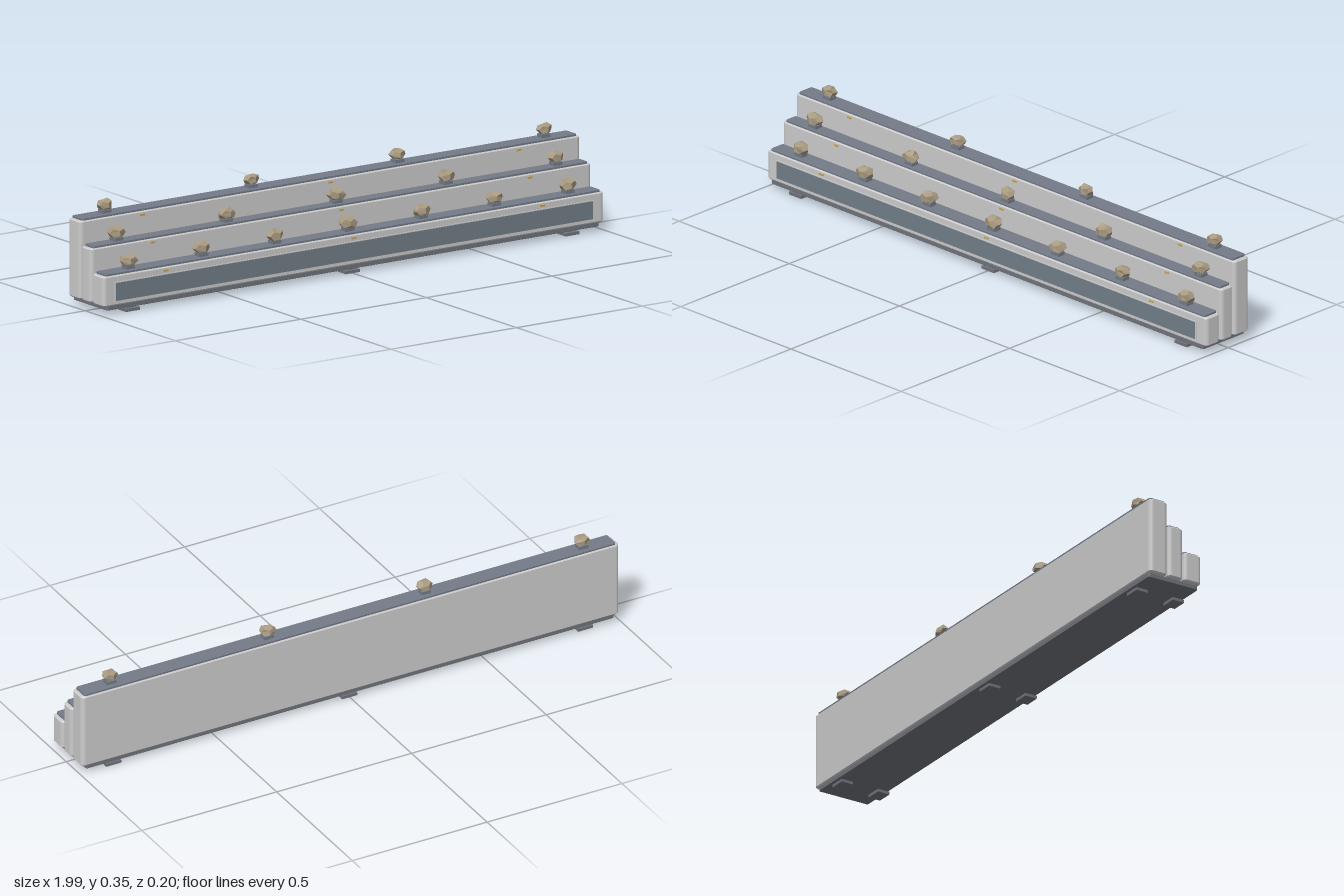
import * as THREE from 'three';

const mat = (color) => new THREE.MeshStandardMaterial({ color, flatShading: true });

// Box with rounded upright corners and a small chamfer on its top and bottom edges
function slab(w, h, d, r, bevel) {
  const x = w / 2 - bevel, z = d / 2 - bevel;
  const s = new THREE.Shape();
  s.absarc(x - r, z - r, r, 0, Math.PI / 2);
  s.absarc(-x + r, z - r, r, Math.PI / 2, Math.PI);
  s.absarc(-x + r, -z + r, r, Math.PI, Math.PI * 1.5);
  s.absarc(x - r, -z + r, r, Math.PI * 1.5, Math.PI * 2);
  const g = new THREE.ExtrudeGeometry(s, {
    depth: h - 2 * bevel, bevelEnabled: true, bevelSize: bevel,
    bevelThickness: bevel, bevelSegments: 1, curveSegments: 3,
  });
  g.rotateX(-Math.PI / 2);
  g.translate(0, bevel, 0); // bottom on y = 0
  return g;
}

// Irregular faceted stone: shared corners move together, seeded by position
function rockGeometry(seed) {
  const g = new THREE.DodecahedronGeometry(1, 0);
  const p = g.attributes.position, v = new THREE.Vector3();
  const noise = (k) => {
    const n = Math.sin(v.x * 12.9 + v.y * 78.2 + v.z * 37.7 + seed * 4.1 + k) * 4375.5;
    return n - Math.floor(n);
  };
  for (let i = 0; i < p.count; i++) {
    v.fromBufferAttribute(p, i);
    v.set(...v.toArray().map((c) => Math.round(c * 100) / 100));
    v.multiplyScalar(0.85 + 0.25 * noise(0));
    p.setXYZ(i, v.x, v.y, v.z);
  }
  g.computeVertexNormals();
  return g;
}

export function createModel() {
  const group = new THREE.Group();
  const body = mat(0xcccccc), slate = mat(0x747b88), dark = mat(0x70737b);
  const panelMat = mat(0x727d88), stone = mat(0xa89a80), brass = mat(0xc9a24a);

  const add = (name, geo, material, x, y, z, parent = group) => {
    const m = new THREE.Mesh(geo, material);
    m.name = name;
    m.position.set(x, y, z);
    parent.add(m);
    return m;
  };

  // Base plate and feet
  add('basePlate', slab(1.96, 0.015, 0.19, 0.006, 0.001), dark, 0, 0.016, 0);
  for (const x of [-0.875, 0, 0.875]) {
    for (const z of [-0.07, 0.07]) {
      add('footPad', new THREE.BoxGeometry(0.056, 0.01, 0.044), dark, x, 0.005, z);
      add('footNeck', new THREE.BoxGeometry(0.024, 0.008, 0.018), dark, x, 0.013, z);
    }
  }

  // Three stepped tiers, each with a cap, marker studs and a row of stones
  const tiers = [
    { name: 'frontTier', z: 0.065, depth: 0.066, top: 0.13, count: 7, size: 0.026 },
    { name: 'middleTier', z: 0, depth: 0.056, top: 0.21, count: 5, size: 0.0255 },
    { name: 'backTier', z: -0.066, depth: 0.068, top: 0.29, count: 4, size: 0.0235 },
  ];
  tiers.forEach((t, k) => {
    const tier = new THREE.Group();
    tier.name = t.name;
    group.add(tier);
    add('tierBody', slab(1.994, t.top - 0.03, t.depth, 0.01, 0.004), body, 0, 0.03, t.z, tier);
    add('tierCap', slab(1.97, 0.008, t.depth - 0.009, 0.006, 0.001), slate, 0, t.top - 0.001, t.z, tier);
    for (const x of [-0.75, 0, 0.75]) {
      add('markerStud', new THREE.BoxGeometry(0.018, 0.006, 0.006), brass,
        x, t.top - 0.012, t.z + t.depth / 2, tier);
    }
    for (let i = 0; i < t.count; i++) {
      const x = -0.875 + (1.75 * i) / (t.count - 1);
      add('stoneMount', new THREE.BoxGeometry(0.034, 0.012, 0.028), slate, x, t.top + 0.012, t.z, tier);
      const rock = add('stone', rockGeometry(k * 10 + i), stone, x, t.top + 0.034, t.z, tier);
      rock.scale.set(t.size * 1.25, t.size * 0.9, t.size);
      rock.rotation.y = ((i * 2 + k) % 5 - 2) * 0.12;
    }
  });

  // Long inset panel on the front face, with a thin surround
  add('frontPanel', new THREE.BoxGeometry(1.9, 0.06, 0.004), panelMat, 0, 0.075, 0.099);
  for (const s of [-1, 1]) {
    add('panelRail', new THREE.BoxGeometry(1.91, 0.003, 0.006), body, 0, 0.075 + s * 0.0315, 0.098);
    add('panelStile', new THREE.BoxGeometry(0.003, 0.066, 0.006), body, s * 0.9515, 0.075, 0.098);
  }
  return group;
}
